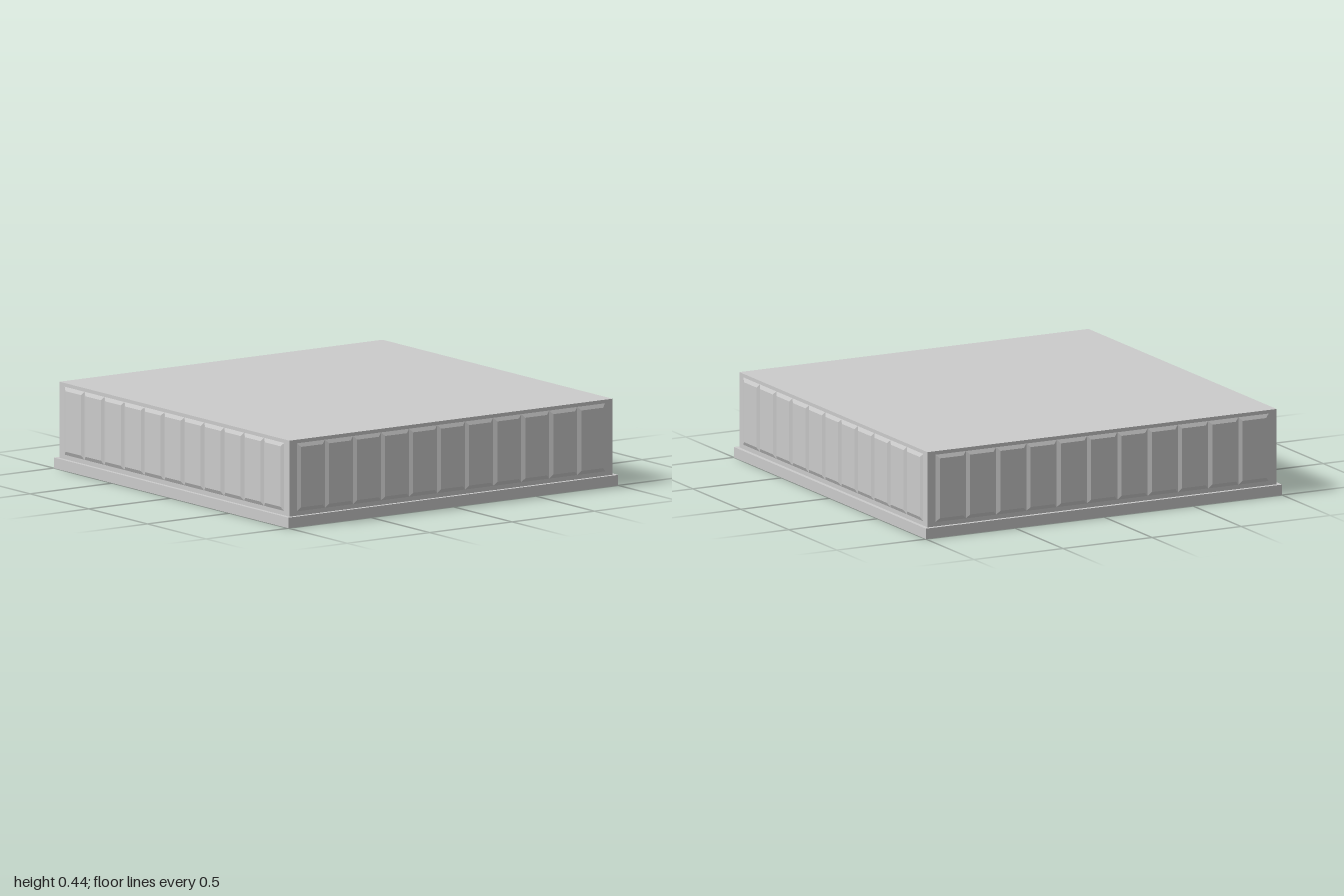
import * as THREE from 'three';

const BASE_H = 0.053, TOP = 0.435, HALF = 0.98;
const PANELS = 11, PITCH = 0.17, BEVEL = 0.019, DEPTH = 0.009;
const PANEL_LOW = 0.075, PANEL_HIGH = 0.417;

// Shallow raised panel: a box whose outer face is drawn in to make mitred bevels
function panelGeometry(width, height) {
  const geo = new THREE.BoxGeometry(width, height, DEPTH);
  geo.translate(0, 0, DEPTH / 2);
  const p = geo.attributes.position;
  for (let i = 0; i < p.count; i++) {
    if (p.getZ(i) < DEPTH / 2) continue;
    p.setX(i, p.getX(i) - Math.sign(p.getX(i)) * BEVEL);
    p.setY(i, p.getY(i) - Math.sign(p.getY(i)) * BEVEL);
  }
  geo.computeVertexNormals();
  return geo;
}

export function createModel() {
  const model = new THREE.Group();
  model.name = 'panelledPlatform';
  const material = new THREE.MeshStandardMaterial({ color: 0xcccccc, flatShading: true });

  const add = (parent, name, geometry, x, y, z) => {
    const mesh = new THREE.Mesh(geometry, material);
    mesh.name = name;
    mesh.position.set(x, y, z);
    parent.add(mesh);
  };

  // Plinth and main block
  add(model, 'basePlate', new THREE.BoxGeometry(2, BASE_H, 2), 0, BASE_H / 2, 0);
  add(model, 'body', new THREE.BoxGeometry(HALF * 2, TOP - BASE_H, HALF * 2), 0, (TOP + BASE_H) / 2, 0);

  // A row of abutting bevelled panels on each of the four sides
  const panel = panelGeometry(PITCH, PANEL_HIGH - PANEL_LOW);
  ['front', 'left', 'back', 'right'].forEach((side, s) => {
    const row = new THREE.Group();
    row.name = side + 'Panels';
    row.rotation.y = s * Math.PI / 2;
    for (let i = 0; i < PANELS; i++) {
      add(row, 'panel', panel, (i - (PANELS - 1) / 2) * PITCH, (PANEL_LOW + PANEL_HIGH) / 2, HALF);
    }
    model.add(row);
  });

  return model;
}
